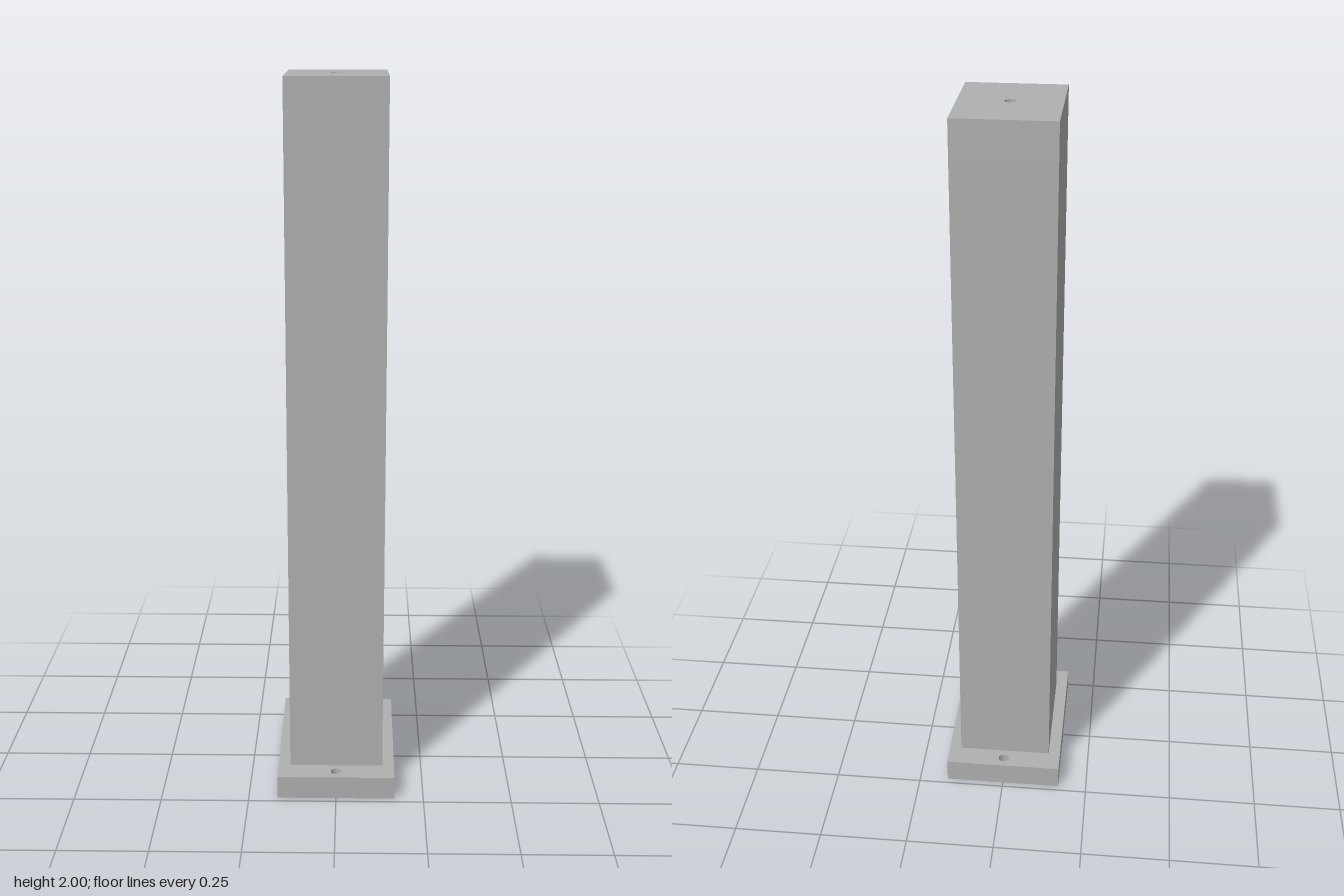
import * as THREE from 'three';

const grey = new THREE.MeshStandardMaterial({ color: 0xb0b0b0 });
grey.name = 'plain grey';

const HOLE = 0.015; // radius of all round holes
const COL_X = 0.133, COL_Z = 0.167; // half sizes of the column
const BASE_TOP = 0.067;

// Closed outline from corner points
const outline = (points) => new THREE.Shape(points.map(([x, z]) => new THREE.Vector2(x, z)));
const rectangle = (x, z) => outline([[-x, -z], [x, -z], [x, z], [-x, z]]);

// Rectangle with round holes centred at the given z positions
function drilled(x, z, holes) {
  const shape = rectangle(x, z);
  for (const h of holes) {
    shape.holes.push(new THREE.Path().absarc(0, h, HOLE, 0, Math.PI * 2, true));
  }
  return shape;
}

// Horizontal slab between two heights
function slab(name, shape, bottom, top) {
  const geometry = new THREE.ExtrudeGeometry(shape, {
    depth: top - bottom, bevelEnabled: false, curveSegments: 16,
  });
  geometry.rotateX(-Math.PI / 2).translate(0, bottom, 0);
  const mesh = new THREE.Mesh(geometry, grey);
  mesh.name = name;
  return mesh;
}

export function createModel() {
  const model = new THREE.Group();
  model.name = 'post';

  // Foot plate with two fixing holes
  model.add(slab('footPlate', drilled(0.167, 0.233, [-0.2, 0.2]), 0, BASE_TOP));

  // Column, its top drilled for a screw and slotted on +x for a hexagonal nut
  const column = new THREE.Group();
  column.name = 'column';
  const r = 0.028; // nut corner radius
  const slotted = outline([
    [-COL_X, -COL_Z], [COL_X, -COL_Z], [COL_X, -r], [0, -r],
    [-0.866 * r, -r / 2], [-0.866 * r, r / 2],
    [0, r], [COL_X, r], [COL_X, COL_Z], [-COL_X, COL_Z],
  ]);
  const bore = drilled(COL_X, COL_Z, [0]);
  column.add(
    slab('columnShaft', rectangle(COL_X, COL_Z), BASE_TOP, 1.9),
    slab('screwHoleSection', bore, 1.9, 1.945),
    slab('nutSlotSection', slotted, 1.945, 1.97),
    slab('columnTop', bore, 1.97, 2),
  );
  model.add(column);
  return model;
}
